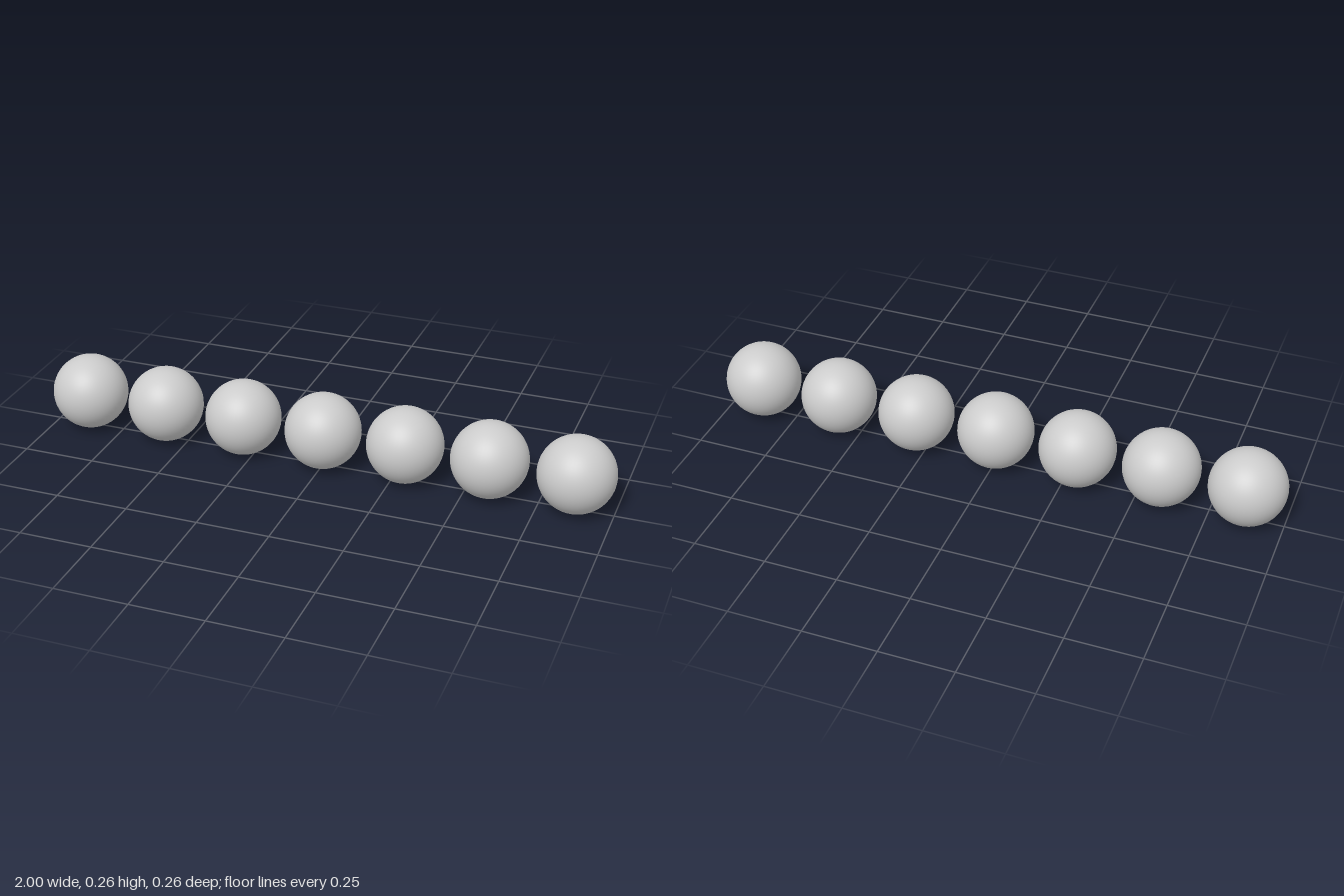
import * as THREE from 'three';

const COUNT = 7;
const RADIUS = 0.1304;
const SPACING = (2 - 2 * RADIUS) / (COUNT - 1);

export function createModel() {
  const model = new THREE.Group();
  model.name = 'ballRow';

  const material = new THREE.MeshStandardMaterial({ color: 0xcccccc });
  const geometry = new THREE.SphereGeometry(RADIUS, 48, 32);

  // Evenly spaced balls in a straight row, with small gaps between them
  for (let i = 0; i < COUNT; i++) {
    const ball = new THREE.Mesh(geometry, material);
    ball.name = `ball${i + 1}`;
    ball.position.set((i - (COUNT - 1) / 2) * SPACING, RADIUS, 0);
    model.add(ball);
  }
  return model;
}
